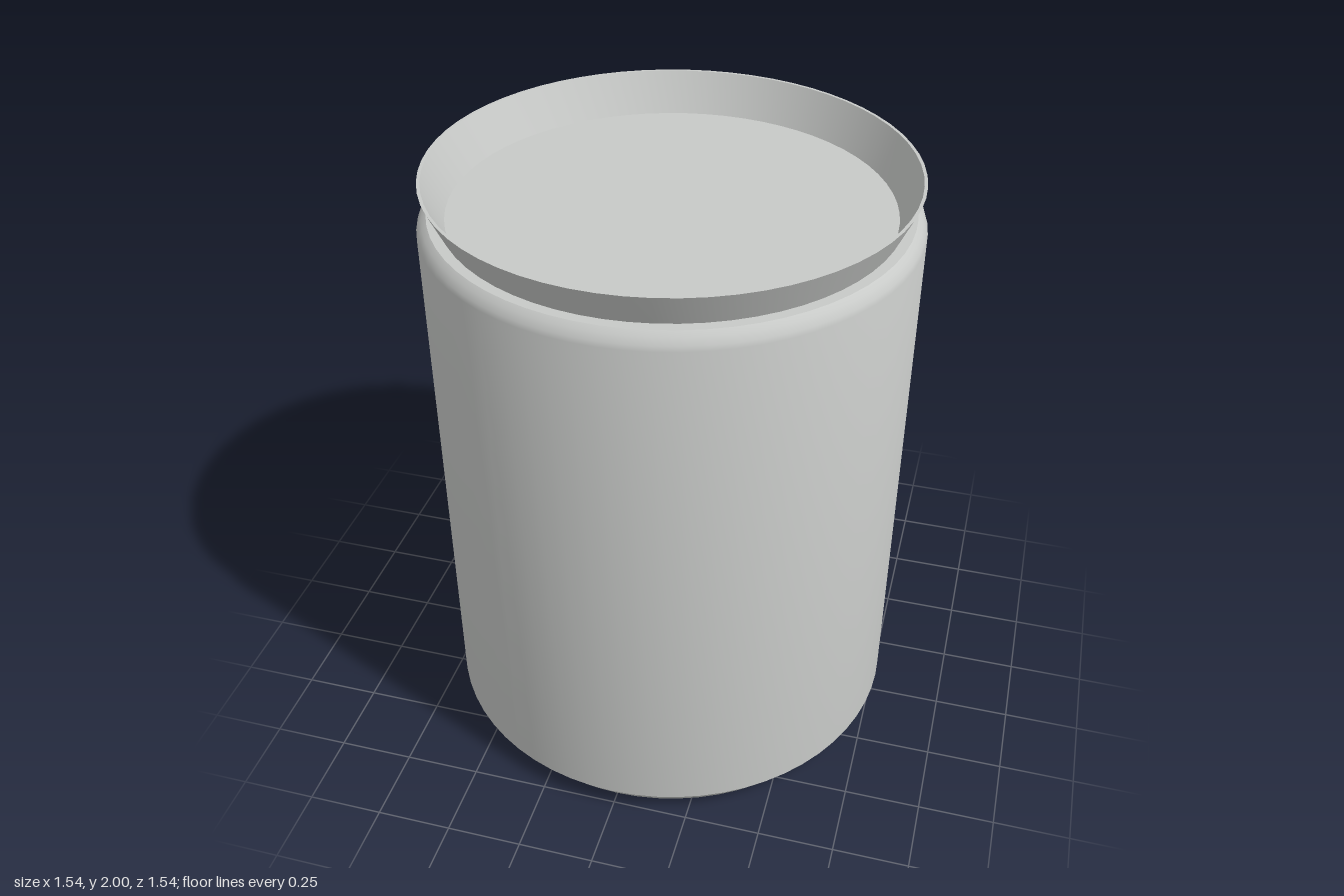
import * as THREE from 'three';
import { toCreasedNormals } from 'three/addons/utils/BufferGeometryUtils.js';

export function createModel() {
  const group = new THREE.Group();
  const metal = new THREE.MeshStandardMaterial({ color: 0xc8cac8 });
  metal.name = 'plain metal';

  // Turns a profile of [radius, height] pairs, keeping hard edges crisp
  const addTurned = (name, profile) => {
    const points = profile.map(([r, y]) => new THREE.Vector2(r, y));
    const geometry = toCreasedNormals(new THREE.LatheGeometry(points, 64), 0.6);
    const mesh = new THREE.Mesh(geometry, metal);
    mesh.name = name;
    group.add(mesh);
  };

  // Closed base, bevelled foot, straight wall and soft shoulder
  addTurned('canBody', [
    [0, 0], [0.71, 0], [0.77, 0.08], [0.77, 1.845],
    [0.765, 1.86], [0.753, 1.88], [0.738, 1.893], [0.7, 1.893],
  ]);

  // Thin flared rim, its inner slope and the recessed lid
  addTurned('rimAndLid', [
    [0.695, 1.87], [0.755, 2], [0.745, 2], [0.685, 1.873], [0, 1.873],
  ]);

  return group;
}
